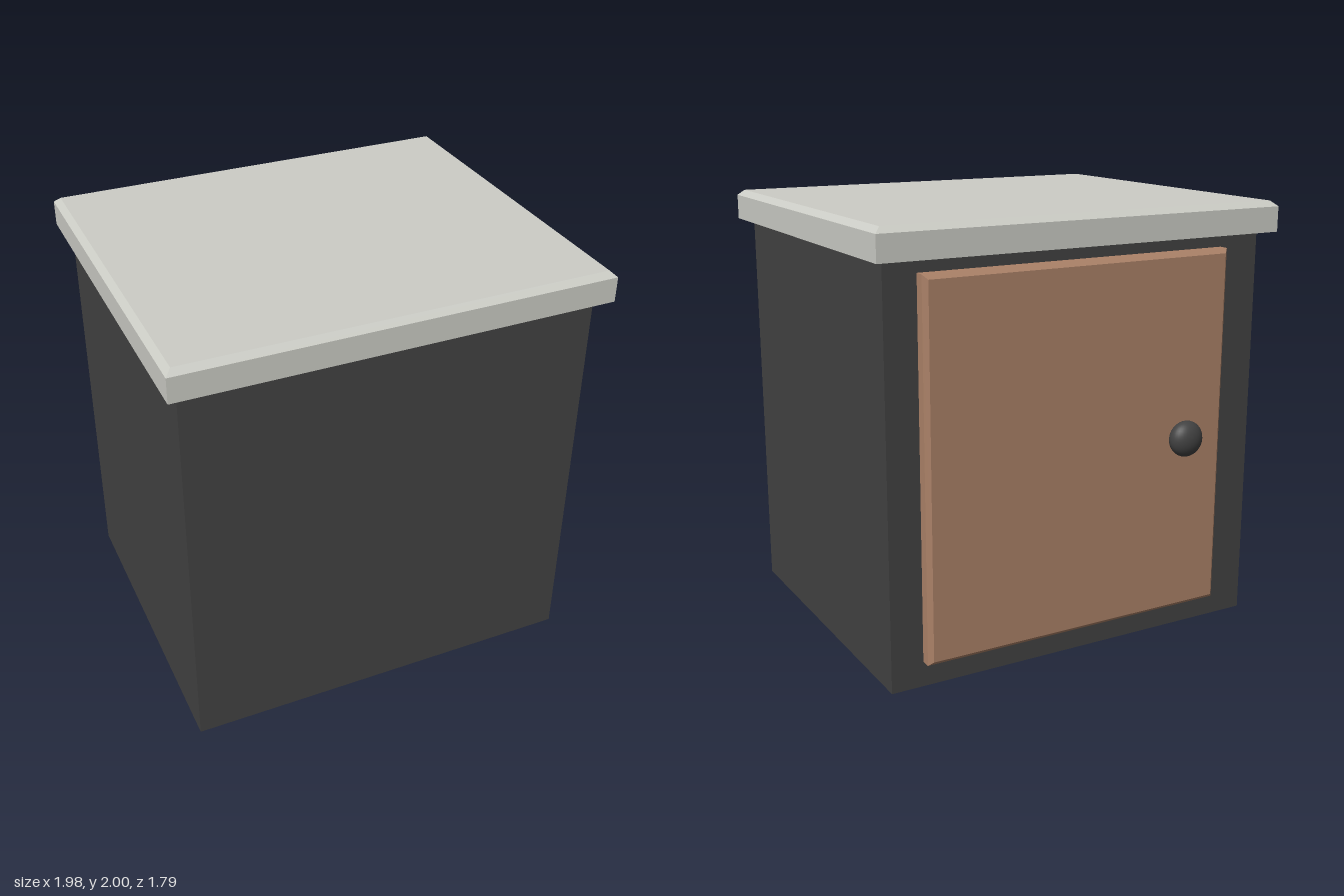
import * as THREE from 'three';

// Rectangular slab along +z with a chamfer around its outer face only
function chamferedSlab(width, height, depth, chamferDepth, inset) {
  const ring = (z, d) => {
    const x = width / 2 - d, y = height / 2 - d;
    return [[-x, -y, z], [x, -y, z], [x, y, z], [-x, y, z]];
  };
  const rings = [ring(0, 0), ring(depth - chamferDepth, 0), ring(depth, inset)];
  const positions = [];
  const quad = (a, b, c, d) => positions.push(...a, ...b, ...c, ...a, ...c, ...d);
  for (let r = 0; r < 2; r++) {
    for (let i = 0; i < 4; i++) {
      const j = (i + 1) % 4;
      quad(rings[r][i], rings[r][j], rings[r + 1][j], rings[r + 1][i]);
    }
  }
  quad(...rings[2]);
  quad(...rings[0].slice().reverse());
  const geometry = new THREE.BufferGeometry();
  geometry.setAttribute('position', new THREE.Float32BufferAttribute(positions, 3));
  geometry.computeVertexNormals();
  return geometry;
}

export function createModel() {
  const group = new THREE.Group();
  group.name = 'cabinet';

  const material = (name, color) => {
    const m = new THREE.MeshStandardMaterial({ color });
    m.name = name;
    return m;
  };
  const darkGrey = material('darkGrey', 0x424242);
  const stone = material('paleStone', 0xcccdc6);
  const wood = material('brownWood', 0xac8268);

  const add = (name, geometry, mat, x, y, z) => {
    const mesh = new THREE.Mesh(geometry, mat);
    mesh.name = name;
    mesh.position.set(x, y, z);
    group.add(mesh);
    return mesh;
  };

  // Carcass
  add('body', new THREE.BoxGeometry(1.87, 1.86, 1.545), darkGrey, 0, 0.93, 0.0475);

  // Overhanging worktop, chamfered along its upper edge
  const top = add('worktop', chamferedSlab(1.98, 1.695, 0.14, 0.025, 0.028), stone, 0, 1.86, 0.0455);
  top.rotation.x = -Math.PI / 2;

  // Door on the -z side, chamfered outward
  const door = add('door', chamferedSlab(1.515, 1.685, 0.065, 0.02, 0.02), wood, 0.0275, 0.9575, -0.725);
  door.rotation.y = Math.PI;

  // Flattened round knob set into the door
  const knob = new THREE.SphereGeometry(0.083, 32, 20);
  knob.scale(1, 1, 0.7);
  add('knob', knob, darkGrey, -0.49, 0.96, -0.837);

  return group;
}
